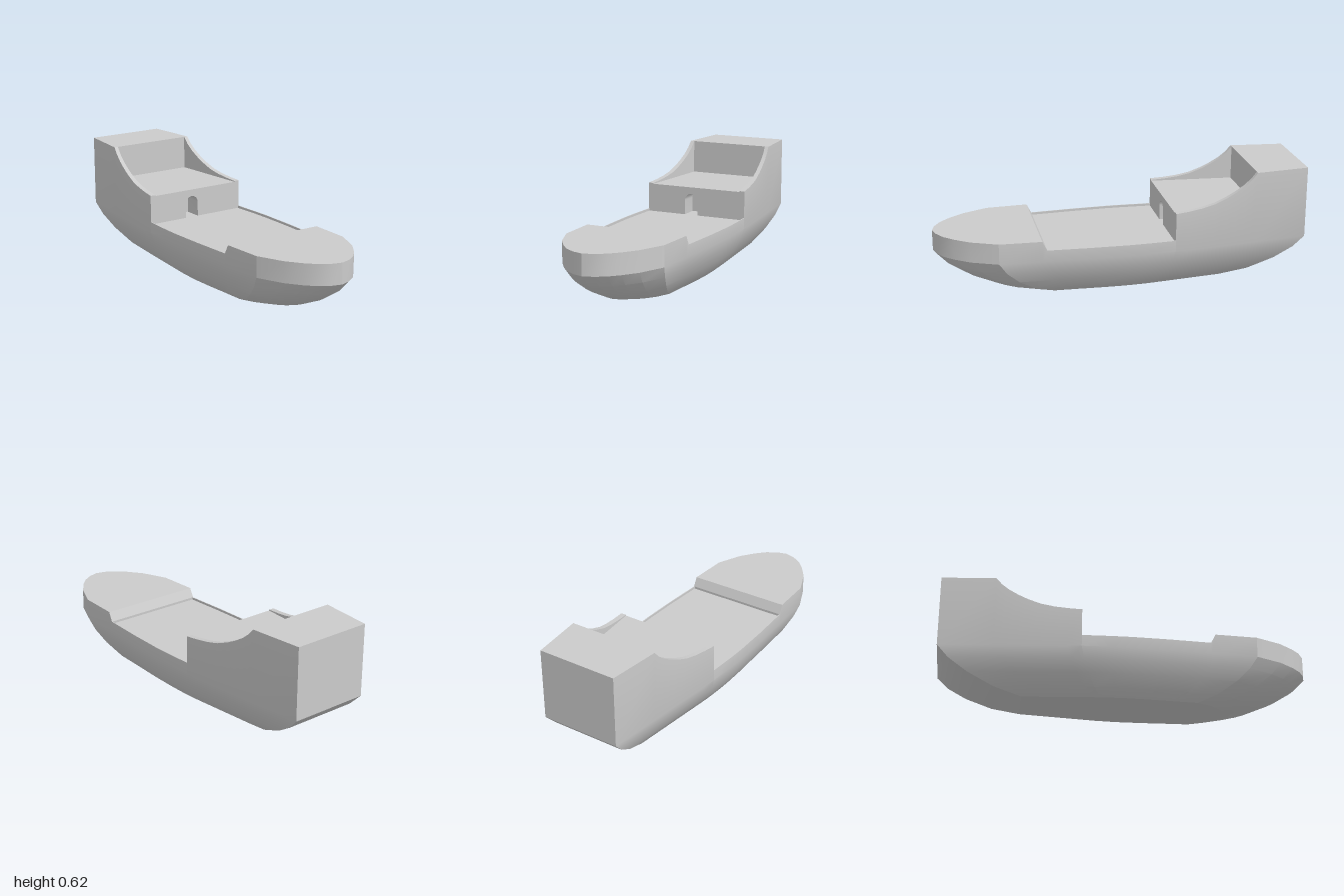
import * as THREE from 'three';
import { toCreasedNormals } from 'three/addons/utils/BufferGeometryUtils.js';

// Half-breadth of the hull in plan: [x, z], stern to bow
const PLAN = [[-1, 0.22], [-0.255, 0.297], [-0.1, 0.304], [0, 0.306], [0.2, 0.301], [0.45, 0.288],
  [0.68, 0.278], [0.82, 0.218], [0.9, 0.16], [0.95, 0.112], [0.985, 0.055], [1, 0]];
// Waterlines below the sheer: [height, scale of the plan]
const LEVELS = [[0.228, 1], [0.165, 0.94], [0.1, 0.84], [0.037, 0.7], [0, 0.55]];
// Sweep of the stern bulwark: [x, y]
const SWEEP = [[-0.71, 0.62], [-0.68, 0.585], [-0.64, 0.552], [-0.59, 0.522], [-0.54, 0.497],
  [-0.47, 0.47], [-0.4, 0.455], [-0.33, 0.446], [-0.255, 0.44]];
const BULKHEAD = -0.255, WAIST = 0.29, DECK = 0.277, POOP = 0.435;

function halfWidth(x) {
  for (let i = 1; i < PLAN.length; i++) {
    const [x0, z0] = PLAN[i - 1], [x1, z1] = PLAN[i];
    if (x <= x1) return z0 + (z1 - z0) * (x - x0) / (x1 - x0);
  }
  return 0;
}

const material = new THREE.MeshStandardMaterial({ color: 0xcccccc, side: THREE.DoubleSide });

function addMesh(group, name, geometry) {
  const mesh = new THREE.Mesh(geometry, material);
  mesh.name = name;
  group.add(mesh);
  return mesh;
}

// Skin over rows of points
function skin(rows) {
  const pos = [], index = [], n = rows[0].length;
  rows.forEach(row => row.forEach(p => pos.push(...p)));
  for (let i = 0; i < rows.length - 1; i++) {
    for (let j = 0; j < n - 1; j++) {
      const a = i * n + j, b = a + n;
      index.push(a, b, b + 1, a, b + 1, a + 1);
    }
  }
  const geometry = new THREE.BufferGeometry();
  geometry.setAttribute('position', new THREE.Float32BufferAttribute(pos, 3));
  geometry.setIndex(index);
  return toCreasedNormals(geometry, 0.3);
}

// Deck running along [x, y, inset from the side]
const deck = profile => skin(profile.map(([x, y, inset]) => {
  const z = halfWidth(x) - inset;
  return [[x, y, z], [x, y, -z]];
}));

// Top and inner face of a bulwark, along [x, y, thickness], on side +1 or -1
function bulwark(path, floor, side) {
  return skin(path.map(([x, y, t]) => {
    const z = halfWidth(x);
    const row = [[x, y, z * side], [x, y, (z - t) * side], [x, floor, (z - t) * side]];
    return side > 0 ? row : row.reverse();
  }));
}

export function createModel() {
  const group = new THREE.Group();
  group.name = 'shipHull';

  // Hull shell: each section goes down one side, across the bottom and up the other
  const sheer = [[-1, 0.62], ...SWEEP, [BULKHEAD, WAIST], [-0.1, WAIST], [0, WAIST], [0.2, WAIST],
    [0.43, WAIST], [0.455, 0.34], ...PLAN.slice(6).map(([x]) => [x, 0.34])];
  const section = ([x, top]) => {
    const z = halfWidth(x);
    const half = [[x, top, z], ...LEVELS.map(([y, s]) => [x * s, y, z * s])];
    return [...half.map(([a, b, c]) => [a, b, -c]), ...half.reverse()];
  };
  addMesh(group, 'hullShell', skin(sheer.map(section)));

  // Flat stern, tucked under below the waterline
  const stern = [...LEVELS].reverse().concat([[0.62, 1]]);
  addMesh(group, 'transom', skin(stern.map(([y, s]) => [[-s, y, 0.22 * s], [-s, y, -0.22 * s]])));

  // Decks from stern to bow
  addMesh(group, 'sternBlock', deck([[-1, 0.62, 0], [-0.71, 0.62, 0], [-0.71, POOP, 0]]));
  addMesh(group, 'poopDeck', deck([[-0.71, POOP, 0.022], [BULKHEAD, POOP, 0.03]]));
  addMesh(group, 'mainDeck', deck([BULKHEAD, -0.1, 0, 0.2, 0.43].map(x => [x, DECK, 0.004])));
  addMesh(group, 'foredeck', deck([[0.43, DECK, 0], [0.43, WAIST, 0], [0.455, 0.34, 0],
    ...PLAN.slice(6).map(([x]) => [x, 0.34, 0])]));

  // Bulwarks on both sides
  const sternPath = SWEEP.map(([x, y]) => [x, y, 0.022 + 0.008 * (x + 0.71) / 0.455]);
  const waistPath = [BULKHEAD, -0.1, 0, 0.2, 0.43].map(x => [x, WAIST, 0.005]);
  for (const [side, label] of [[1, 'left'], [-1, 'right']]) {
    addMesh(group, label + 'SternBulwark', bulwark(sternPath, POOP, side));
    addMesh(group, label + 'WaistBulwark', bulwark(waistPath, DECK, side));
  }

  // Bulkhead with an arched doorway; shape x runs along -z
  const w = halfWidth(BULKHEAD), doorX = -0.027, r = 0.04, spring = 0.357;
  const arch = [[doorX - r, DECK]];
  for (let i = 0; i <= 16; i++) {
    const a = Math.PI * (1 - i / 16);
    arch.push([doorX + r * Math.cos(a), spring + r * Math.sin(a)]);
  }
  arch.push([doorX + r, DECK]);
  const outline = [[-w, DECK], ...arch, [w, DECK], [w, 0.44], [w - 0.03, 0.44], [w - 0.03, POOP],
    [0.03 - w, POOP], [0.03 - w, 0.44], [-w, 0.44]];
  const panel = (points, x) => new THREE.ShapeGeometry(
    new THREE.Shape(points.map(p => new THREE.Vector2(...p)))).rotateY(Math.PI / 2).translate(x, 0, 0);
  addMesh(group, 'bulkhead', panel(outline, BULKHEAD));

  // Doorway recess
  const depth = BULKHEAD - 0.1;
  addMesh(group, 'doorwayBack', panel(arch, depth));
  addMesh(group, 'doorwayLining', skin([depth, BULKHEAD].map(x =>
    [...arch, arch[0]].map(([u, y]) => [x, y, -u]))));

  return group;
}
